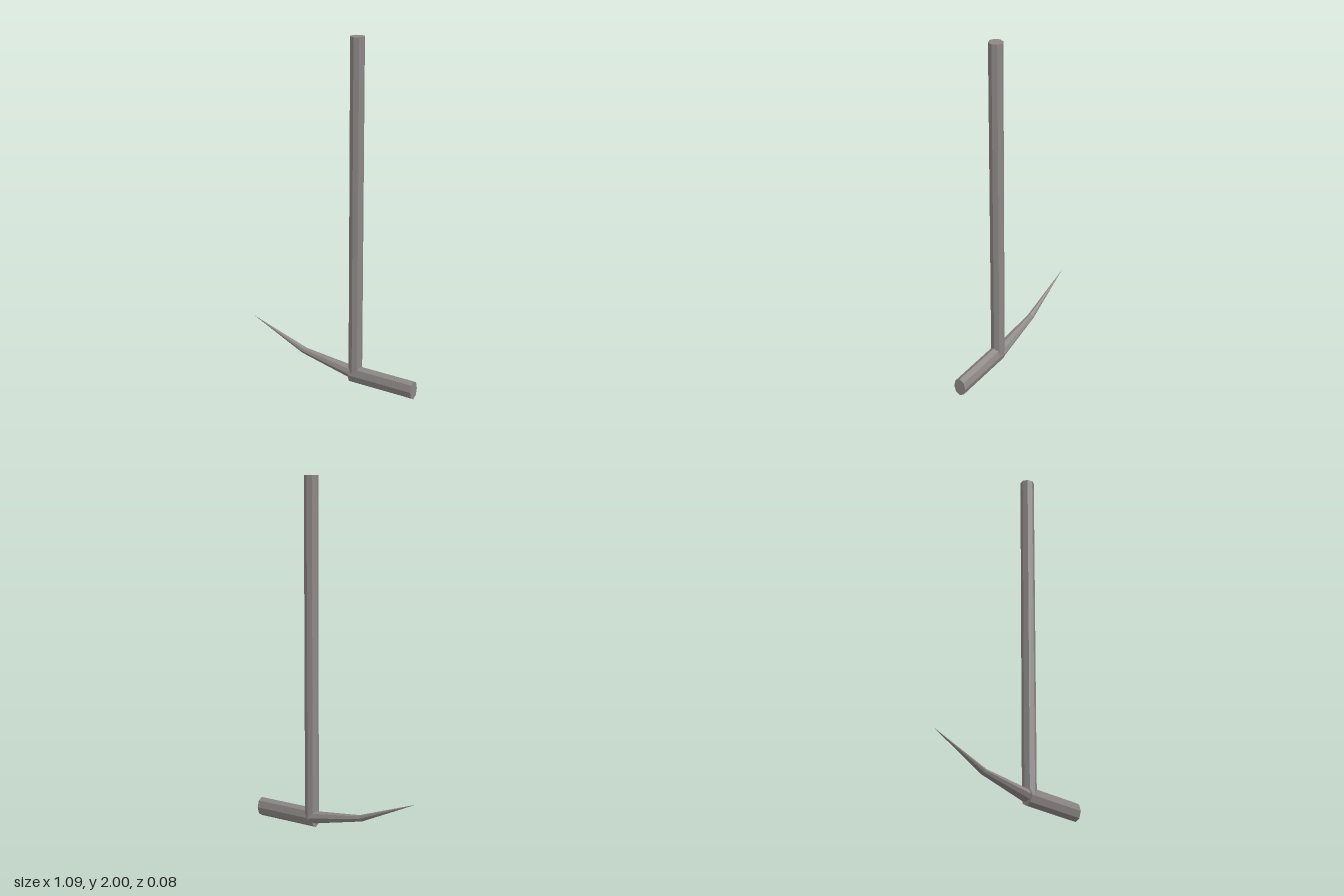
import * as THREE from 'three';

const SIDES = 8;

// Pointed pick made of octagonal rings that shrink to a tip
function pickGeometry(rings) {
  const pos = [], idx = [];
  for (const [x, y, z, ry, rz, lean] of rings) {
    for (let i = 0; i < SIDES; i++) {
      const a = (i / SIDES) * Math.PI * 2;
      pos.push(x + Math.cos(a) * lean, y + Math.cos(a) * ry, z + Math.sin(a) * rz);
    }
  }
  for (let r = 0; r < rings.length - 1; r++) {
    for (let i = 0; i < SIDES; i++) {
      const j = (i + 1) % SIDES;
      const a = r * SIDES + i, b = r * SIDES + j;
      idx.push(a, a + SIDES, b, b, a + SIDES, b + SIDES);
    }
  }
  // base cap
  for (let i = 1; i < SIDES - 1; i++) idx.push(0, i, i + 1);
  const g = new THREE.BufferGeometry();
  g.setAttribute('position', new THREE.Float32BufferAttribute(pos, 3));
  g.setIndex(idx);
  const flat = g.toNonIndexed();
  flat.computeVertexNormals();
  return flat;
}

export function createModel() {
  const group = new THREE.Group();
  const metal = new THREE.MeshStandardMaterial({ color: 0x8c8886, flatShading: true });
  metal.name = 'grey metal';
  metal.side = THREE.DoubleSide;

  const add = (name, geometry) => {
    const mesh = new THREE.Mesh(geometry, metal);
    mesh.name = name;
    group.add(mesh);
    return mesh;
  };

  // Long upright handle
  add('handle', new THREE.CylinderGeometry(0.04, 0.04, 1.95, SIDES))
    .position.set(0.163, 1.025, -0.001);

  // Hammer head: a bar, taller than it is deep
  const bar = new THREE.CylinderGeometry(1, 1, 0.41, SIDES);
  bar.rotateZ(Math.PI / 2);
  bar.scale(1, 0.055, 0.038);
  add('hammerHead', bar).position.set(0.342, 0.055, 0.002);

  // Curved pick: x, y, z, half height, half depth, lean
  add('pick', pickGeometry([
    [0.155, 0.057, -0.004, 0.036, 0.039, 0.008],
    [-0.19, 0.111, -0.005, 0.017, 0.02, 0.008],
    [-0.547, 0.247, -0.005, 0.0005, 0.0005, 0],
  ]));

  return group;
}
